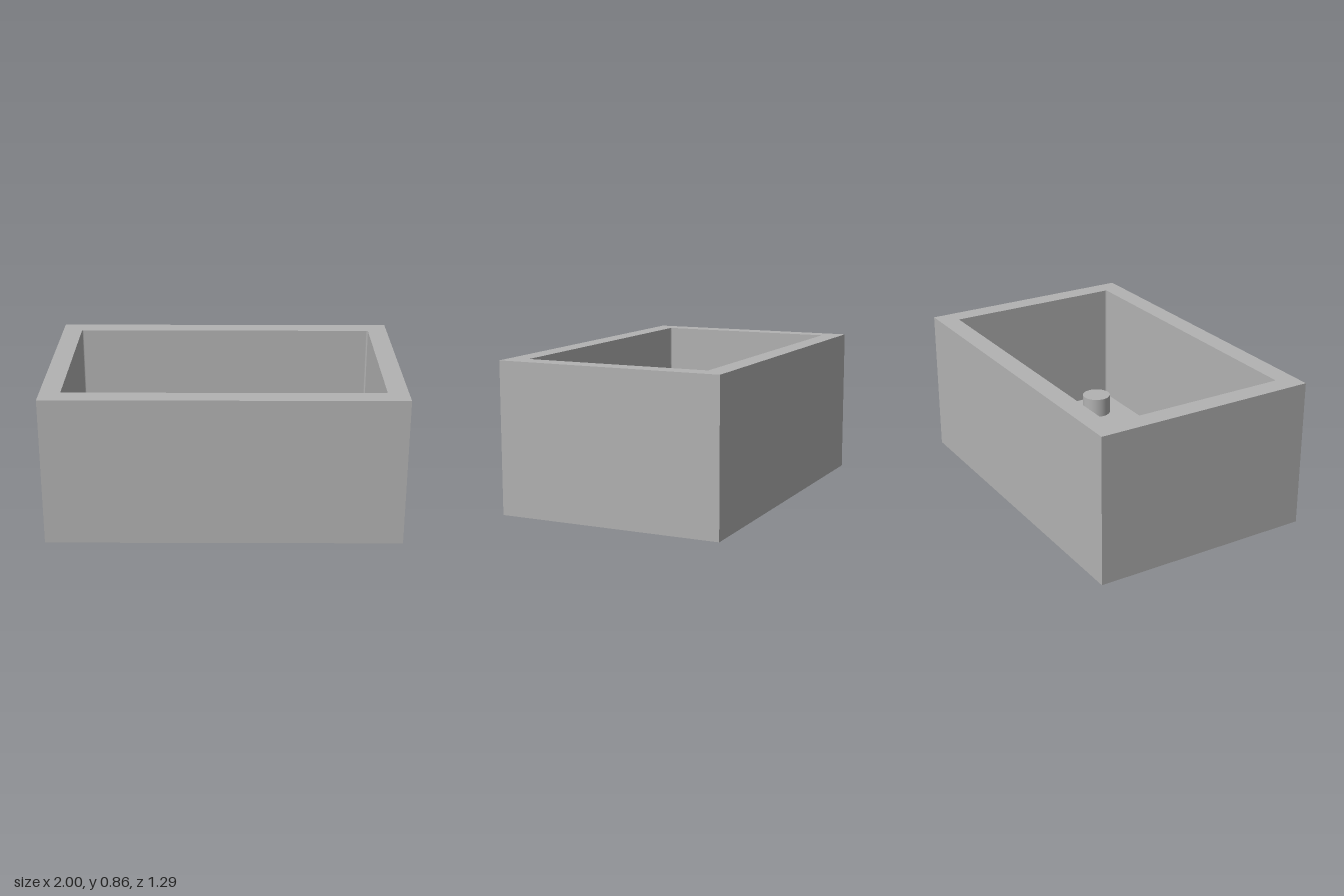
import * as THREE from 'three';

const W = 2, D = 1.29, H = 0.855; // outer size
const IW = 1.77, ID = 1.06;       // cavity size
const FLOOR = 0.115;

const rectangle = (target, w, d, r) => {
  const x = w / 2, y = d / 2;
  target.moveTo(-x + r, -y).lineTo(x - r, -y);
  if (r) target.absarc(x - r, -y + r, r, -Math.PI / 2, 0);
  target.lineTo(x, y - r);
  if (r) target.absarc(x - r, y - r, r, 0, Math.PI / 2);
  target.lineTo(-x + r, y);
  if (r) target.absarc(-x + r, y - r, r, Math.PI / 2, Math.PI);
  target.lineTo(-x, -y + r);
  if (r) target.absarc(-x + r, -y + r, r, Math.PI, Math.PI * 1.5);
  return target;
};

export function createModel() {
  const group = new THREE.Group();
  group.name = 'openBox';
  const grey = new THREE.MeshStandardMaterial({ color: 0xb2b2b2 });
  grey.name = 'grey';

  const add = (name, geometry, x, y, z) => {
    const mesh = new THREE.Mesh(geometry, grey);
    mesh.name = name;
    mesh.position.set(x, y, z);
    group.add(mesh);
  };

  // Four walls as one frame, with tiny fillets in the inner corners
  const frame = rectangle(new THREE.Shape(), W, D, 0);
  frame.holes.push(rectangle(new THREE.Path(), IW, ID, 0.01));
  const walls = new THREE.ExtrudeGeometry(frame, { depth: H, bevelEnabled: false, curveSegments: 4 });
  walls.rotateX(-Math.PI / 2);
  add('walls', walls, 0, 0, 0);

  // Floor closing the bottom of the frame
  add('floor', new THREE.BoxGeometry(IW, FLOOR, ID), 0, FLOOR / 2, 0);

  // Short round mounting posts on the floor
  const postHeight = 0.12;
  const post = new THREE.CylinderGeometry(0.088, 0.088, postHeight, 48);
  for (const x of [-0.675, 0.675])
    for (const z of [-0.325, 0.325])
      add('mountingPost', post, x, FLOOR + postHeight / 2, z);

  return group;
}
